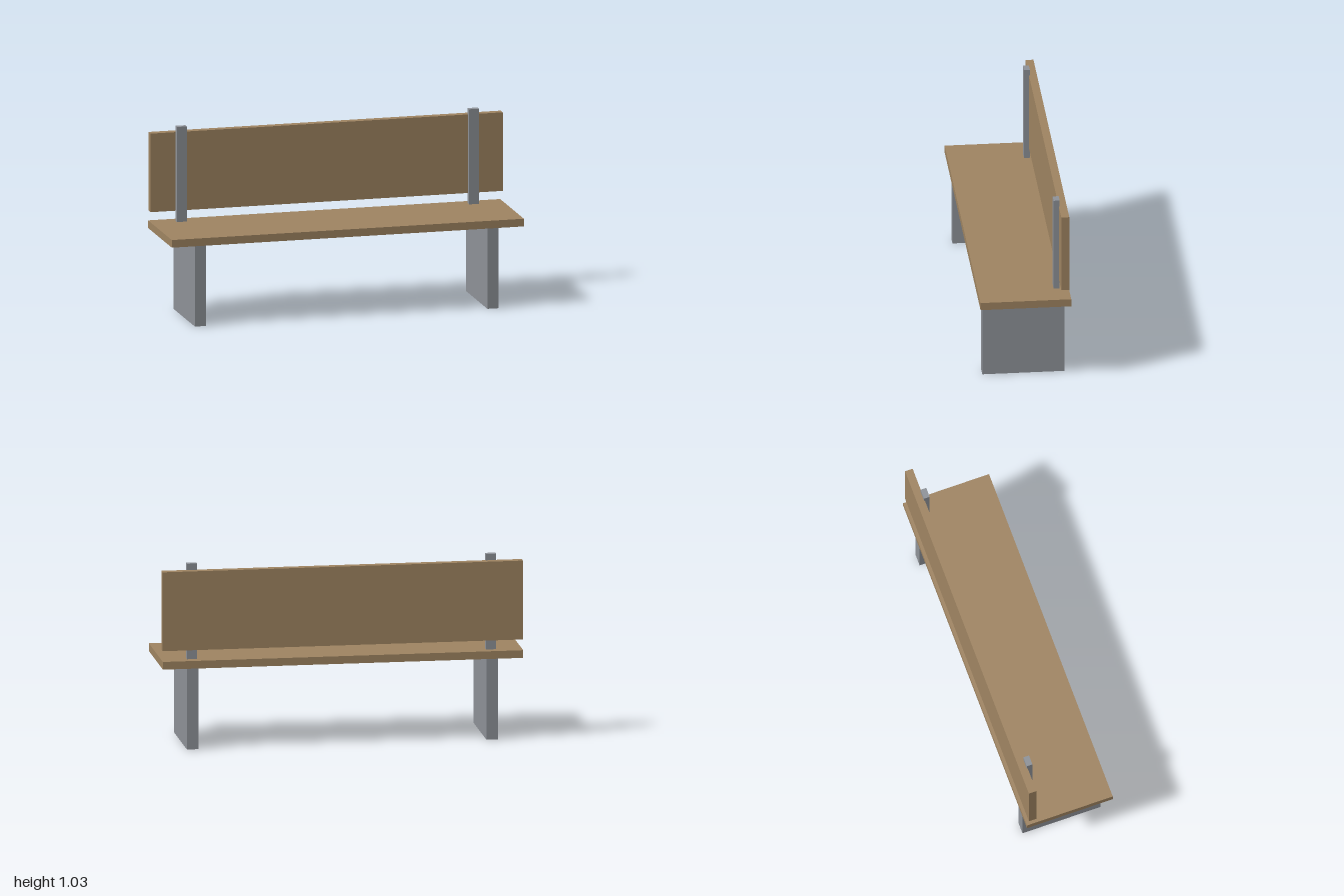
import * as THREE from 'three';

export function createModel() {
  const bench = new THREE.Group();
  bench.name = 'bench';

  const wood = new THREE.MeshStandardMaterial({ color: 0xa08562 });
  wood.name = 'wood';
  const metal = new THREE.MeshStandardMaterial({ color: 0x8f9399 });
  metal.name = 'grey metal';

  // Box given by its minimum and maximum corners
  function addBox(name, material, [x0, y0, z0], [x1, y1, z1]) {
    const mesh = new THREE.Mesh(new THREE.BoxGeometry(x1 - x0, y1 - y0, z1 - z0), material);
    mesh.position.set((x0 + x1) / 2, (y0 + y1) / 2, (z0 + z1) / 2);
    mesh.name = name;
    bench.add(mesh);
  }

  // Seat plank and backrest board
  addBox('seat', wood, [-1, 0.457, -0.25], [1, 0.5, 0.25]);
  addBox('backrest', wood, [-1, 0.558, -0.239], [1, 1, -0.195]);

  // Slab leg and back post on each side
  for (const [side, s] of [['left', 1], ['right', -1]]) {
    const legX = s * 0.831, postX = s * 0.83;
    addBox(side + 'Leg', metal, [legX - 0.032, 0, -0.227], [legX + 0.032, 0.457, 0.227]);
    addBox(side + 'Post', metal, [postX - 0.028, 0.5, -0.2], [postX + 0.028, 1.035, -0.167]);
  }

  return bench;
}
